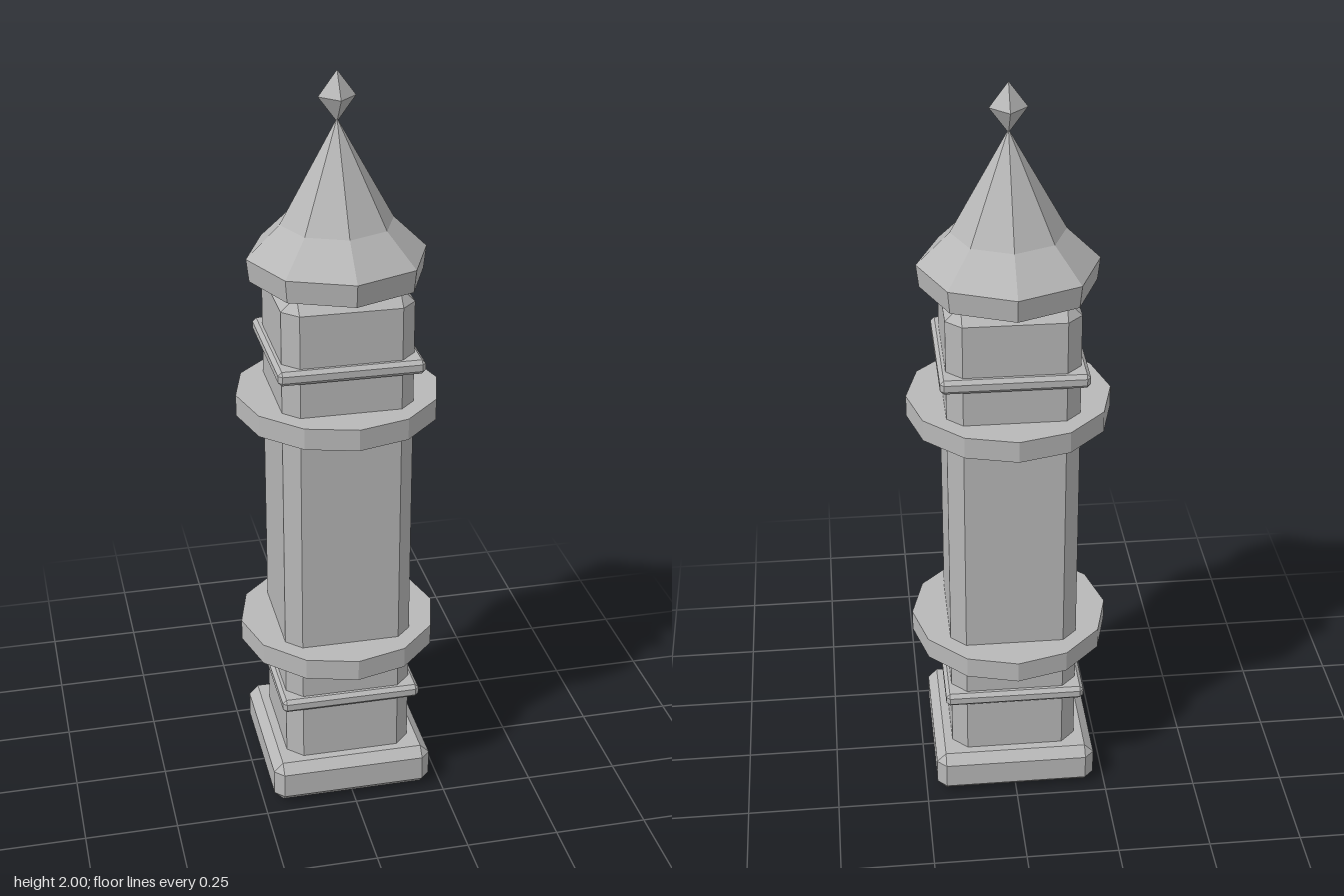
import * as THREE from 'three';
import { ConvexGeometry } from 'three/addons/geometries/ConvexGeometry.js';

export function createModel() {
  const model = new THREE.Group();
  model.name = 'tower';
  const stone = new THREE.MeshStandardMaterial({ color: 0xb8b8b8 });
  stone.name = 'stone grey';

  const add = (name, geometry) => {
    const mesh = new THREE.Mesh(geometry, stone);
    mesh.name = name;
    model.add(mesh);
  };

  // Square block with every edge cut at 45 degrees
  const chamferedBlock = (name, half, y0, y1, bevel) => {
    const h = (y1 - y0) / 2, points = [];
    for (const sx of [-1, 1]) for (const sy of [-1, 1]) for (const sz of [-1, 1]) {
      const a = half - bevel, b = h - bevel;
      points.push(
        new THREE.Vector3(sx * half, sy * b, sz * a),
        new THREE.Vector3(sx * a, sy * h, sz * a),
        new THREE.Vector3(sx * a, sy * b, sz * half));
    }
    add(name, new ConvexGeometry(points).translate(0, (y0 + y1) / 2, 0));
  };

  // Faceted turned shape, given as [radius, y] from bottom to top
  const faceted = (name, sides, profile) => {
    const points = profile.map(([r, y]) => new THREE.Vector2(r, y));
    const geometry = new THREE.LatheGeometry(points, sides).toNonIndexed();
    geometry.computeVertexNormals();
    add(name, geometry);
  };

  // Plinth and shaft
  chamferedBlock('base', 0.22, 0, 0.12, 0.025);
  chamferedBlock('shaft', 0.172, 0.06, 1.475, 0.04);

  // Thin square mouldings
  chamferedBlock('lowerMoulding', 0.19, 0.278, 0.316, 0.01);
  chamferedBlock('upperMoulding', 0.19, 1.256, 1.294, 0.01);

  // Twelve-sided bands
  for (const [name, y0] of [['lowerBand', 0.415], ['upperBand', 1.1]])
    faceted(name, 12, [[0, y0], [0.269, y0], [0.269, y0 + 0.058], [0, y0 + 0.058]]);

  // Eight-sided flared roof and diamond finial
  faceted('roof', 8, [[0, 1.47], [0.227, 1.47], [0.234, 1.53], [0.147, 1.615], [0, 1.88]]);
  faceted('finial', 4, [[0, 1.87], [0.048, 1.935], [0, 2]]);

  return model;
}
